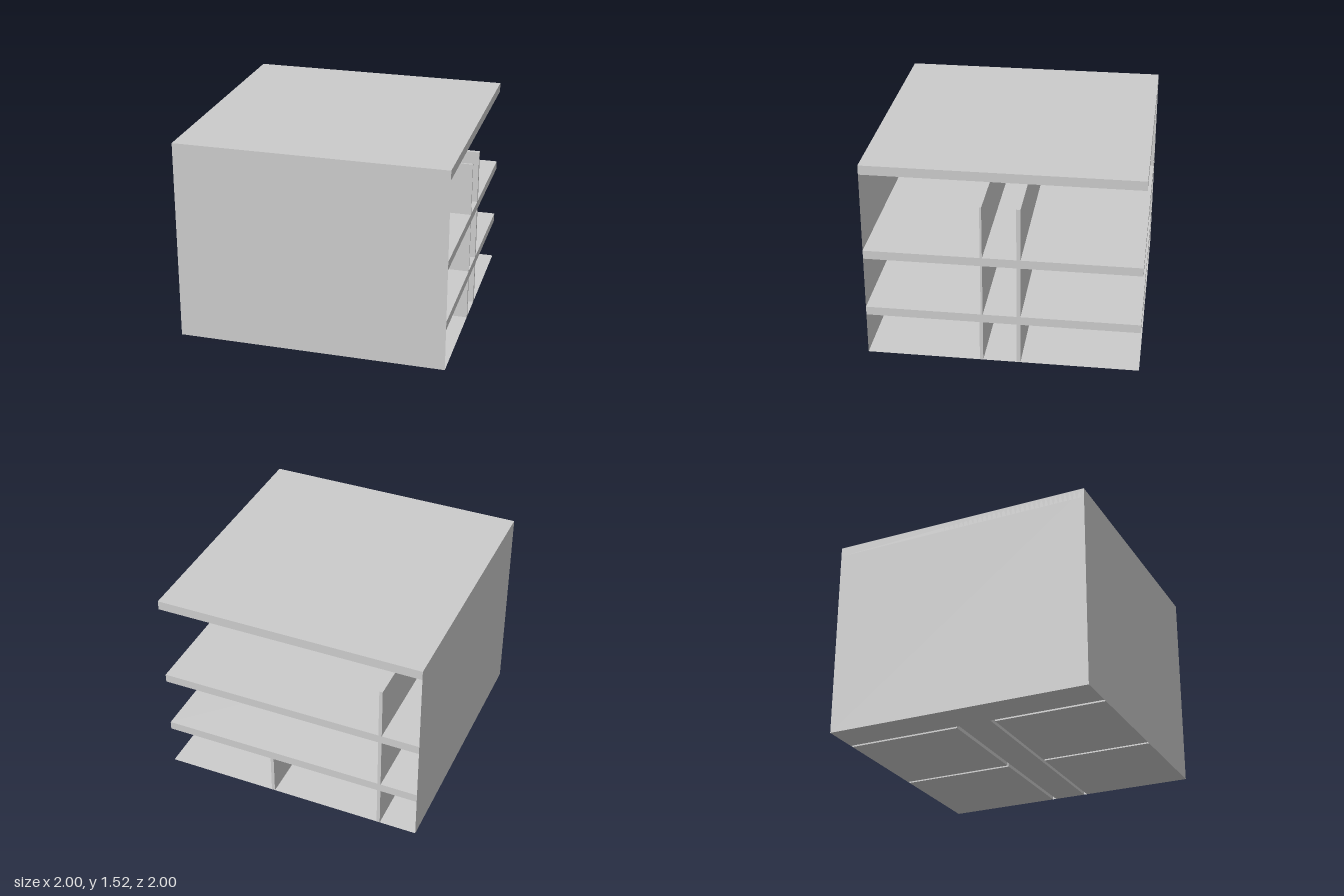
import * as THREE from 'three';

const grey = new THREE.MeshStandardMaterial({ color: 0xcccccc, side: THREE.DoubleSide });

export function createModel() {
  const model = new THREE.Group();
  const add = (name, geometry, x = 0, y = 0, z = 0) => {
    const mesh = new THREE.Mesh(geometry, grey);
    mesh.name = name;
    mesh.position.set(x, y, z);
    model.add(mesh);
    return mesh;
  };

  // Two thin, closed outer walls; the other two sides stay open
  add('frontWall', new THREE.PlaneGeometry(2, 1.52), 0, 0.76, 1);
  add('sideWall', new THREE.PlaneGeometry(2, 1.52).rotateY(-Math.PI / 2), -1, 0.76, 0);

  // Intermediate floors and roof: [name, bottom, top]
  for (const [name, y0, y1] of [
    ['firstFloorSlab', 0.32, 0.385],
    ['secondFloorSlab', 0.785, 0.85],
    ['roofSlab', 1.45, 1.52],
  ]) add(name, new THREE.BoxGeometry(2, y1 - y0, 2), 0, (y0 + y1) / 2, 0);

  // Thin ground floor, laid room by room between the partitions: [x0, x1, z0, z1]
  for (const [x0, x1, z0, z1] of [
    [0.16, 1, -1, -0.135], [-0.695, 0.135, -1, -0.135],
    [0.16, 1, 0.165, 1], [-0.695, 0.135, 0.165, 1],
    [-0.72, 1, -0.105, 0.14], [-1, -0.72, -1, 1],
  ]) add('groundFloor', new THREE.PlaneGeometry(x1 - x0, z1 - z0).rotateX(-Math.PI / 2),
    (x0 + x1) / 2, 0, (z0 + z1) / 2);

  // Partition plan: a corridor wall with one or two cross walls reaching the outside.
  // side is the sign of z; inner and outer are distances from the middle.
  const partition = (side, inner, outer, divided, height) => {
    const divider = divided ? [[0.16, outer], [0.16, 1], [0.135, 1], [0.135, outer]] : [];
    const plan = [
      [1, inner], [1, outer], ...divider,
      [-0.695, outer], [-0.695, 1], [-0.72, 1], [-0.72, inner],
    ].map(([x, z]) => new THREE.Vector2(x, -side * z));
    return new THREE.ExtrudeGeometry(new THREE.Shape(plan), { depth: height, bevelEnabled: false })
      .rotateX(-Math.PI / 2);
  };

  // Ground-storey partitions are hollow, so only their sides are kept
  const sidesOnly = (geometry) => {
    const { start, count } = geometry.groups[1];
    const sides = new THREE.BufferGeometry();
    for (const [name, size] of [['position', 3], ['normal', 3], ['uv', 2]]) {
      const values = geometry.attributes[name].array.slice(start * size, (start + count) * size);
      sides.setAttribute(name, new THREE.BufferAttribute(values, size));
    }
    return sides;
  };
  add('groundFrontPartition', sidesOnly(partition(1, 0.14, 0.165, true, 0.32)));
  add('groundBackPartition', sidesOnly(partition(-1, 0.105, 0.135, true, 0.32)));

  // Upper-storey partitions; the topmost ones stop short of the roof
  for (const [storey, y] of [['first', 0.385], ['second', 0.85]]) {
    add(storey + 'FrontPartition', partition(1, 0.14, 0.155, false, 0.4), 0, y);
    add(storey + 'BackPartition', partition(-1, 0.105, 0.135, false, 0.4), 0, y);
  }

  return model;
}
